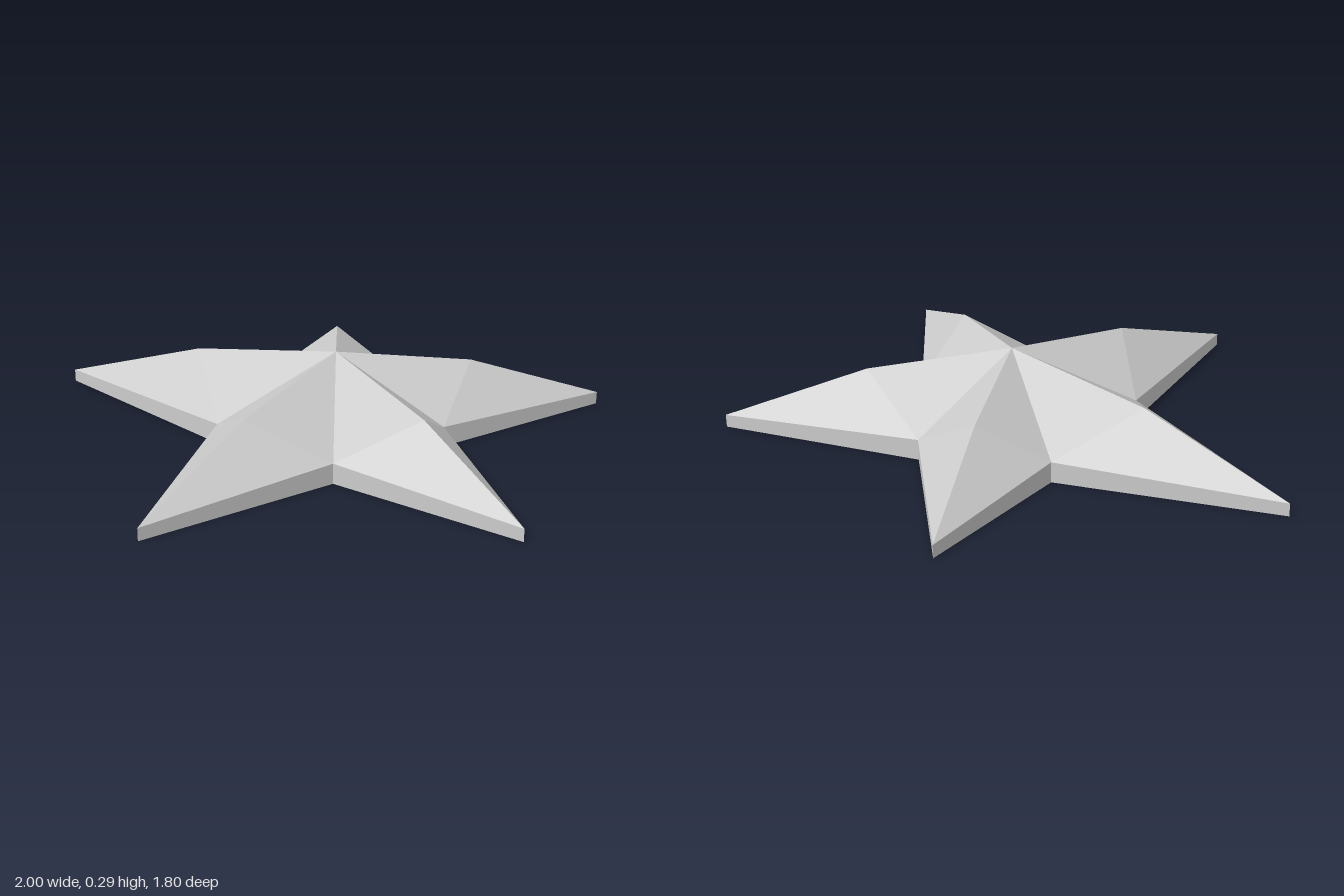
import * as THREE from 'three';

// Arm tips and the inner corner that follows each, as [x, z], counter-clockwise from above
const TIPS = [[0.073, 0.9], [0.995, 0.18], [0.66, -0.905], [-0.495, -0.862], [-1, 0.125]];
const CORNERS = [[0.302, 0.222], [0.425, -0.243], [0.037, -0.537], [-0.363, -0.3], [-0.202, 0.218]];
const PEAK = [0.04, 0.29, -0.137];
const TIP_Y = 0.045, CORNER_Y = 0.073, RIDGE_Y = 0.217;

function facets(name, triangles, material) {
  const geometry = new THREE.BufferGeometry();
  geometry.setAttribute('position', new THREE.Float32BufferAttribute(triangles.flat(2), 3));
  geometry.computeVertexNormals();
  const mesh = new THREE.Mesh(geometry, material);
  mesh.name = name;
  return mesh;
}

export function createModel() {
  const group = new THREE.Group();
  group.name = 'fivePointedStar';
  const grey = new THREE.MeshStandardMaterial({ color: 0xcccccc, flatShading: true });
  grey.name = 'light grey';

  const at = ([x, z], y) => [x, y, z];
  const underCentre = [PEAK[0], 0, PEAK[2]];
  const rim = [], underside = [];

  for (let i = 0; i < 5; i++) {
    const before = CORNERS[(i + 4) % 5], after = CORNERS[i];
    const tip = at(TIPS[i], TIP_Y);
    const left = at(before, CORNER_Y), right = at(after, CORNER_Y);
    // The ridge bends halfway along the arm
    const ridge = [(PEAK[0] + tip[0]) / 2, RIDGE_Y, (PEAK[2] + tip[2]) / 2];

    // Faceted top of one arm
    group.add(facets(`arm${i + 1}`, [
      [PEAK, left, ridge], [ridge, left, tip],
      [PEAK, ridge, right], [ridge, tip, right],
    ], grey));

    // Upright rim and flat underside, one edge at a time
    for (const [a, b] of [[left, tip], [tip, right]]) {
      const a0 = [a[0], 0, a[2]], b0 = [b[0], 0, b[2]];
      rim.push([a0, b0, b], [a0, b, a]);
      underside.push([underCentre, b0, a0]);
    }
  }
  group.add(facets('rim', rim, grey), facets('underside', underside, grey));
  return group;
}
